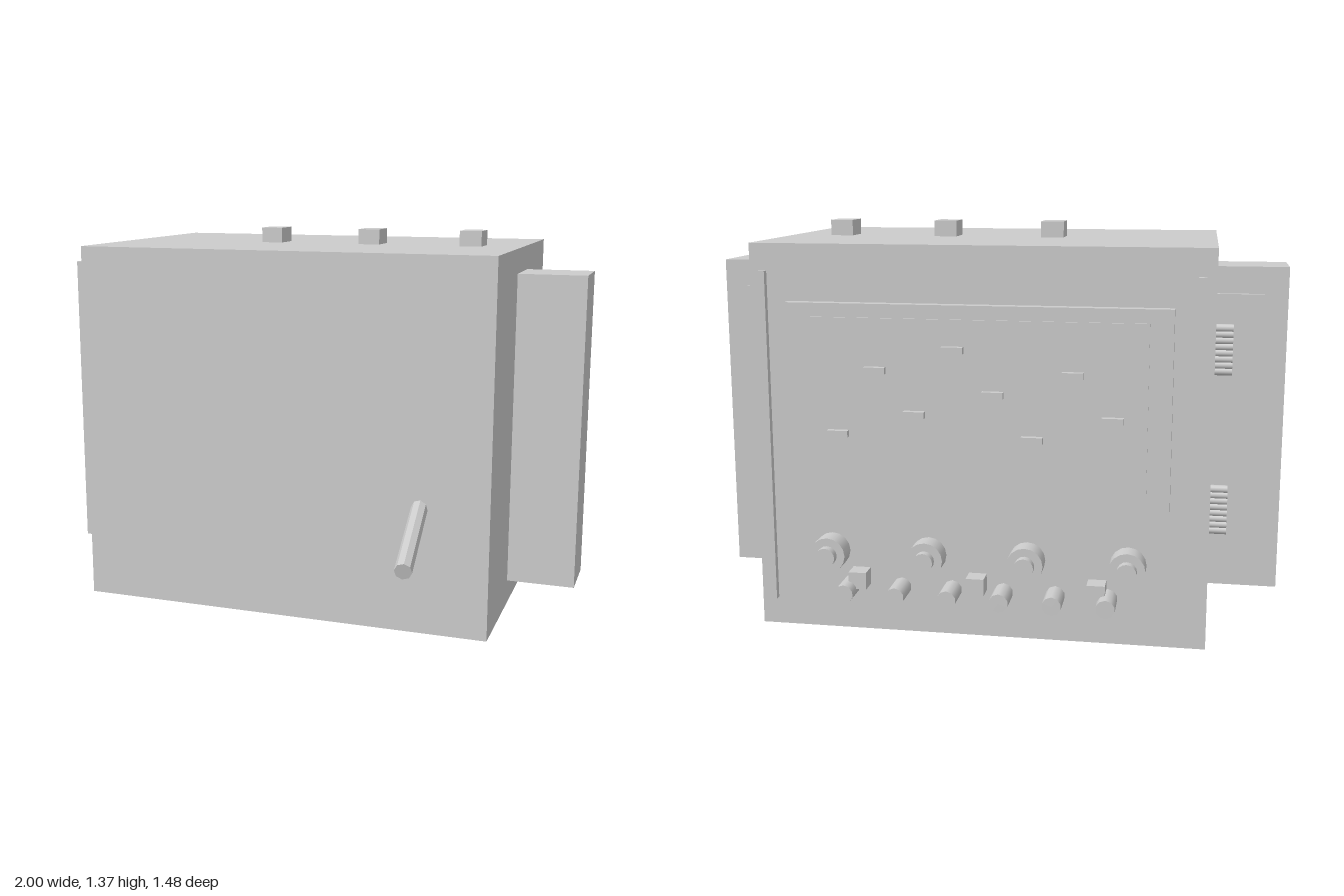
import * as THREE from 'three';

const grey = new THREE.MeshStandardMaterial({ color: 0xcccccc });
grey.name = 'plainGrey';

export function createModel() {
  const model = new THREE.Group();
  model.name = 'controlCabinet';

  const add = (name, geometry, x, y, z) => {
    const mesh = new THREE.Mesh(geometry, grey);
    mesh.name = name;
    mesh.position.set(x, y, z);
    model.add(mesh);
    return mesh;
  };
  // box given by its limits on each axis
  const box = (name, [x0, x1], [y0, y1], [z0, z1]) =>
    add(name, new THREE.BoxGeometry(x1 - x0, y1 - y0, z1 - z0),
      (x0 + x1) / 2, (y0 + y1) / 2, (z0 + z1) / 2);
  // round part pointing out of the back, between two z values
  const dial = (name, radius, sides, x, y, z0, z1) => {
    const geometry = new THREE.CylinderGeometry(radius, radius, z1 - z0, sides);
    geometry.rotateX(-Math.PI / 2);
    return add(name, geometry, x, y, (z0 + z1) / 2);
  };

  // main cabinet
  box('cabinet', [-0.757, 0.757], [0, 1.31], [-0.63, 0.355]);

  // blocks on the roof
  for (const x of [-0.187, 0.195, 0.575])
    box('roofBlock', [x - 0.04, x + 0.04], [1.31, 1.365], [-0.19, -0.085]);

  // side pods with a rear plate, hinge coils and rails, mirrored
  for (const s of [-1, 1]) {
    const span = (a, b) => (s > 0 ? [a, b] : [-b, -a]);
    box('sidePod', span(0.757, 1), [0.09, 1.222], [-0.242, -0.03]);
    box('podPlate', span(0.757, 0.92), [0.18, 1.13], [-0.262, -0.242]);
    box('backRail', span(0.7, 0.725), [0.095, 1.22], [-0.652, -0.63]);
    for (const base of [0.3, 0.866]) {
      for (let i = 0; i < 8; i++) {
        const coil = new THREE.CylinderGeometry(0.014, 0.014, 0.066, 10);
        coil.rotateZ(Math.PI / 2);
        add('hingeCoil', coil, s * 0.787, base + i * 0.0213, -0.275);
      }
    }
  }

  // display panel on the back
  box('displayFrame', [-0.63, 0.63], [0.45, 1.122], [-0.668, -0.63]);
  box('displayScreen', [-0.555, 0.555], [0.5, 1.077], [-0.674, -0.668]);
  const markers = [
    [0.327, 0.908], [0.07, 0.98],
    [0.455, 0.695], [0.198, 0.766], [-0.06, 0.838], [-0.317, 0.908],
    [-0.188, 0.695], [-0.445, 0.766],
  ];
  for (const [x, y] of markers)
    box('displayMarker', [x - 0.035, x + 0.035], [y - 0.011, y + 0.011], [-0.695, -0.674]);

  // stepped knobs, buttons and switches under the display
  for (const x of [-0.5, -0.167, 0.167, 0.5]) {
    dial('knobBase', 0.06, 16, x, 0.277, -0.699, -0.63);
    dial('knobCap', 0.033, 16, x, 0.277, -0.727, -0.699);
  }
  for (const x of [-0.435, -0.261, -0.087, 0.087, 0.261, 0.435])
    dial('button', 0.032, 10, x, 0.158, -0.738, -0.63);
  for (const x of [-0.4, 0, 0.4])
    box('switchBlock', [x - 0.03, x + 0.03], [0.162, 0.22], [-0.692, -0.63]);

  // slanted lever on the front
  const start = new THREE.Vector3(0.507, 0.461, 0.305);
  const end = new THREE.Vector3(0.557, 0.352, 0.731);
  const axis = end.clone().sub(start);
  const lever = new THREE.CylinderGeometry(0.029, 0.029, axis.length(), 8).toNonIndexed();
  lever.computeVertexNormals();
  const middle = start.clone().add(end).multiplyScalar(0.5);
  add('lever', lever, middle.x, middle.y, middle.z)
    .quaternion.setFromUnitVectors(new THREE.Vector3(0, 1, 0), axis.normalize());

  return model;
}
